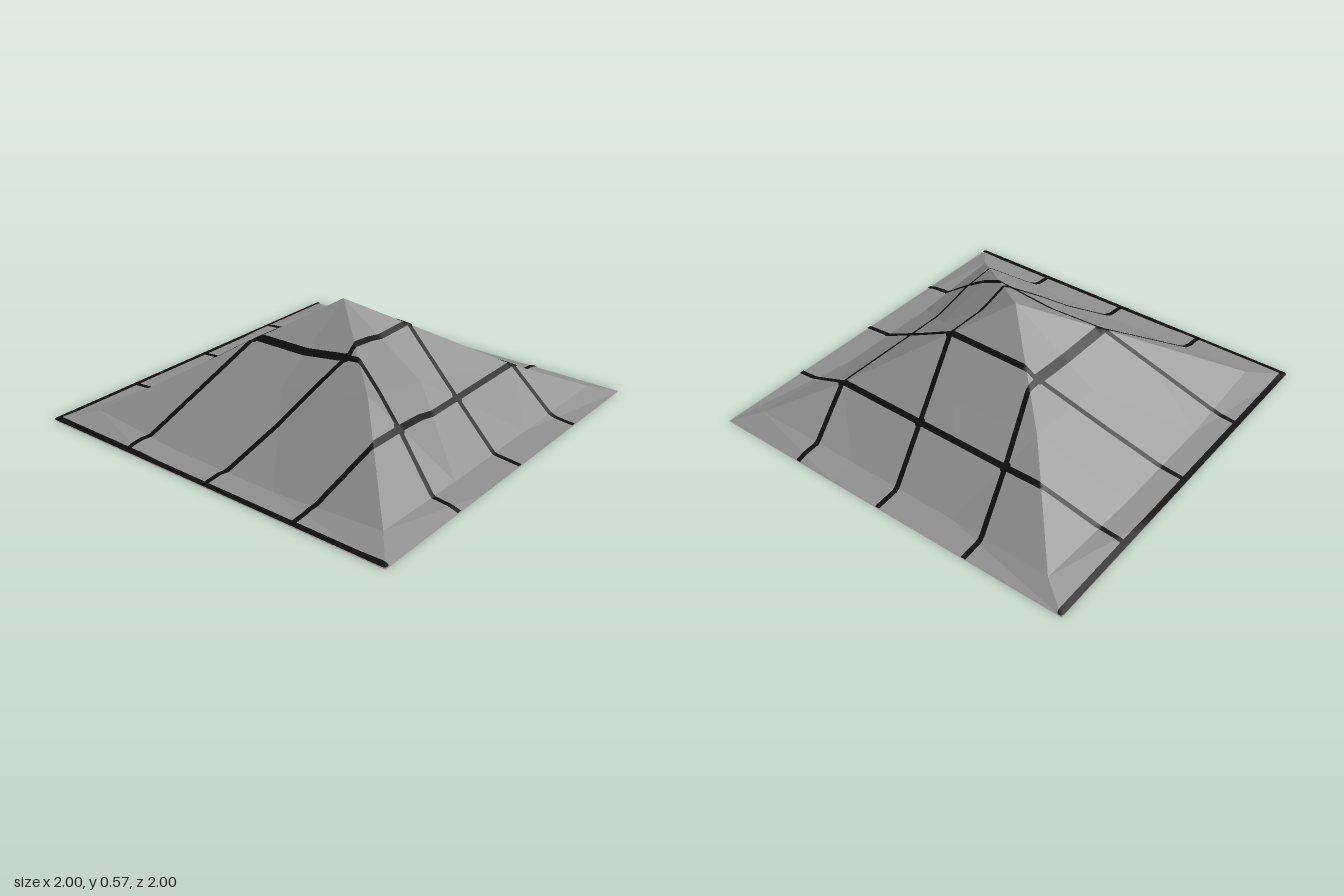
import * as THREE from 'three';
import { mergeGeometries } from 'three/addons/utils/BufferGeometryUtils.js';

// Ridge points of each corner (front left, front right, back right, back left), top to bottom
const APEX = [0, 0.57, 0];
const ridges = [
  [[-0.41, 0.35, 0.46], [-0.84, 0.04, 0.87], [-1, 0, 1]],
  [[0.6, 0.178, 0.6], [0.88, 0.04, 0.88], [1, 0, 1]],
  [[0.43, 0.282, -0.45], [0.89, 0.04, -0.85], [1, 0, -1]],
  [[-0.42, 0.305, -0.42], [-0.84, 0.04, -0.84], [-1, 0, -1]],
];

// Quarter turns about the vertical axis
function turn([x, y, z], n) {
  for (let i = 0; i < n; i++) [x, z] = [z, -x];
  return [x, y, z];
}

// Triangles of the four sloping sides, each with a flared foot
function canopyTriangles() {
  const tris = [];
  for (let i = 0; i < 4; i++) {
    const [A, a, c] = ridges[i];
    const [B, b, d] = ridges[(i + 1) % 4];
    const M = turn([0, 0.266, 0.46], i);
    const m1 = turn([-0.3, 0.012, 0.857], i), m2 = turn([0.3, 0.012, 0.857], i);
    const e1 = turn([-0.3, 0, 1], i), e2 = turn([0.3, 0, 1], i);
    tris.push(
      [APEX, A, M], [APEX, M, B],
      [A, a, m1], [A, m1, M], [M, m1, m2], [M, m2, B], [B, m2, b],
      [a, c, e1], [a, e1, m1], [m1, e1, e2], [m1, e2, m2], [m2, e2, d], [m2, d, b],
    );
  }
  return tris;
}
const triangles = canopyTriangles();

// Height of the canopy above a plan position
function heightAt(x, z) {
  let best = 0;
  for (const [p, q, r] of triangles) {
    const det = (q[2] - r[2]) * (p[0] - r[0]) + (r[0] - q[0]) * (p[2] - r[2]);
    const u = ((q[2] - r[2]) * (x - r[0]) + (r[0] - q[0]) * (z - r[2])) / det;
    const v = ((r[2] - p[2]) * (x - r[0]) + (p[0] - r[0]) * (z - r[2])) / det;
    const w = 1 - u - v;
    if (Math.min(u, v, w) > -1e-6) best = Math.max(best, u * p[1] + v * q[1] + w * r[1]);
  }
  return best;
}

// Lays a flat horizontal geometry onto the canopy
function drape(geo, offset) {
  const pos = geo.attributes.position;
  for (let i = 0; i < pos.count; i++) {
    const x = THREE.MathUtils.clamp(pos.getX(i), -1, 1);
    const z = THREE.MathUtils.clamp(pos.getZ(i), -1, 1);
    pos.setXYZ(i, x, Math.max(0, heightAt(x, z) + offset), z);
  }
  geo.computeVertexNormals();
  return geo;
}

// A seam along a plan path, with round joints, on the outside and the inside
function seamGeometry(path, width, joint) {
  const parts = [];
  for (const offset of [0.006, -0.006]) {
    path.forEach(([x, z], i) => {
      parts.push(drape(new THREE.CircleGeometry(joint, 10).rotateX(-Math.PI / 2).translate(x, 0, z), offset));
      if (i === path.length - 1) return;
      const [x2, z2] = path[i + 1];
      const length = Math.hypot(x2 - x, z2 - z);
      const strip = new THREE.PlaneGeometry(length, width, Math.ceil(length / 0.02), 2);
      strip.rotateX(-Math.PI / 2).rotateY(-Math.atan2(z2 - z, x2 - x));
      parts.push(drape(strip.translate((x + x2) / 2, 0, (z + z2) / 2), offset));
    });
  }
  return mergeGeometries(parts);
}

// Plan paths (x, z) of the seams
const seams = [
  { name: 'backLeftSeam', path: [[-0.485, -1], [-0.485, -0.86], [-0.3, -0.3]] },
  { name: 'backMiddleSeam', path: [[0.012, -1], [0.012, -0.86], [0.21, -0.3]] },
  { name: 'rightLongSeam', path: [[0.515, -1], [0.515, -0.86], [0.605, -0.6], [0.597, -0.4], [0.597, 0.595], [0.515, 0.87], [0.515, 1]] },
  { name: 'rightBackSeam', path: [[0.21, -0.295], [0.3, -0.3], [0.6, -0.4], [0.88, -0.485], [1, -0.485]] },
  { name: 'leftBackSeam', path: [[-1, -0.485], [-0.89, -0.485], [-0.3, -0.305]] },
  { name: 'leftMiddleSeam', path: [[-1, 0.012], [-0.89, 0.012], [-0.27, 0.235]] },
  { name: 'frontLowerSeam', path: [[-1, 0.515], [-0.88, 0.515], [-0.58, 0.622], [-0.38, 0.615], [-0.2, 0.598], [0.6, 0.597], [0.88, 0.515], [1, 0.515]] },
  { name: 'frontUpperSeam', path: [[-0.27, 0.24], [-0.08, 0.222], [0.22, 0.22], [0.6, 0.1], [0.88, 0.012], [1, 0.012]] },
  { name: 'frontLeftSeam', path: [[-0.275, 0.24], [-0.275, 0.31], [-0.385, 0.615], [-0.485, 0.87], [-0.485, 1]] },
  { name: 'frontMiddleSeam', path: [[0.222, -0.29], [0.222, 0.22], [0.1, 0.6], [0.012, 0.87], [0.012, 1]] },
  { name: 'upperBackBand', path: [[-0.3, -0.302], [0.215, -0.292]], width: 0.042 },
  { name: 'upperLeftBand', path: [[-0.295, -0.3], [-0.275, 0.24]], width: 0.036 },
  { name: 'leftHem', path: [[-0.985, -0.985], [-0.985, 0.985]], width: 0.03 },
  { name: 'backHem', path: [[-0.985, -0.985], [0.985, -0.985]], width: 0.03 },
];

// Places where seams cross
const crossings = [
  [-0.3, -0.302], [0.215, -0.292], [-0.275, 0.235], [0.222, 0.22], [0.1, 0.598],
  [0.597, 0.597], [0.597, 0.1], [0.597, -0.4], [-0.385, 0.615],
];

export function createModel() {
  const group = new THREE.Group();
  const clothGrey = new THREE.MeshStandardMaterial({ color: 0x8e8e8e, side: THREE.DoubleSide });
  clothGrey.name = 'clothGrey';
  const seamBlack = new THREE.MeshStandardMaterial({ color: 0x0d0d0d, side: THREE.DoubleSide });
  seamBlack.name = 'seamBlack';

  const add = (name, geo, material) => {
    const mesh = new THREE.Mesh(geo, material);
    mesh.name = name;
    group.add(mesh);
  };

  // Open faceted canopy
  const canopy = new THREE.BufferGeometry();
  canopy.setAttribute('position', new THREE.Float32BufferAttribute(triangles.flat(2), 3));
  canopy.computeVertexNormals();
  add('canopy', canopy, clothGrey);

  // Seams, hems and crossing patches
  for (const { name, path, width = 0.025 } of seams) {
    add(name, seamGeometry(path, width, width / 2), seamBlack);
  }
  add('seamCrossings', mergeGeometries(crossings.map((p) => seamGeometry([p], 0, 0.024))), seamBlack);
  return group;
}
